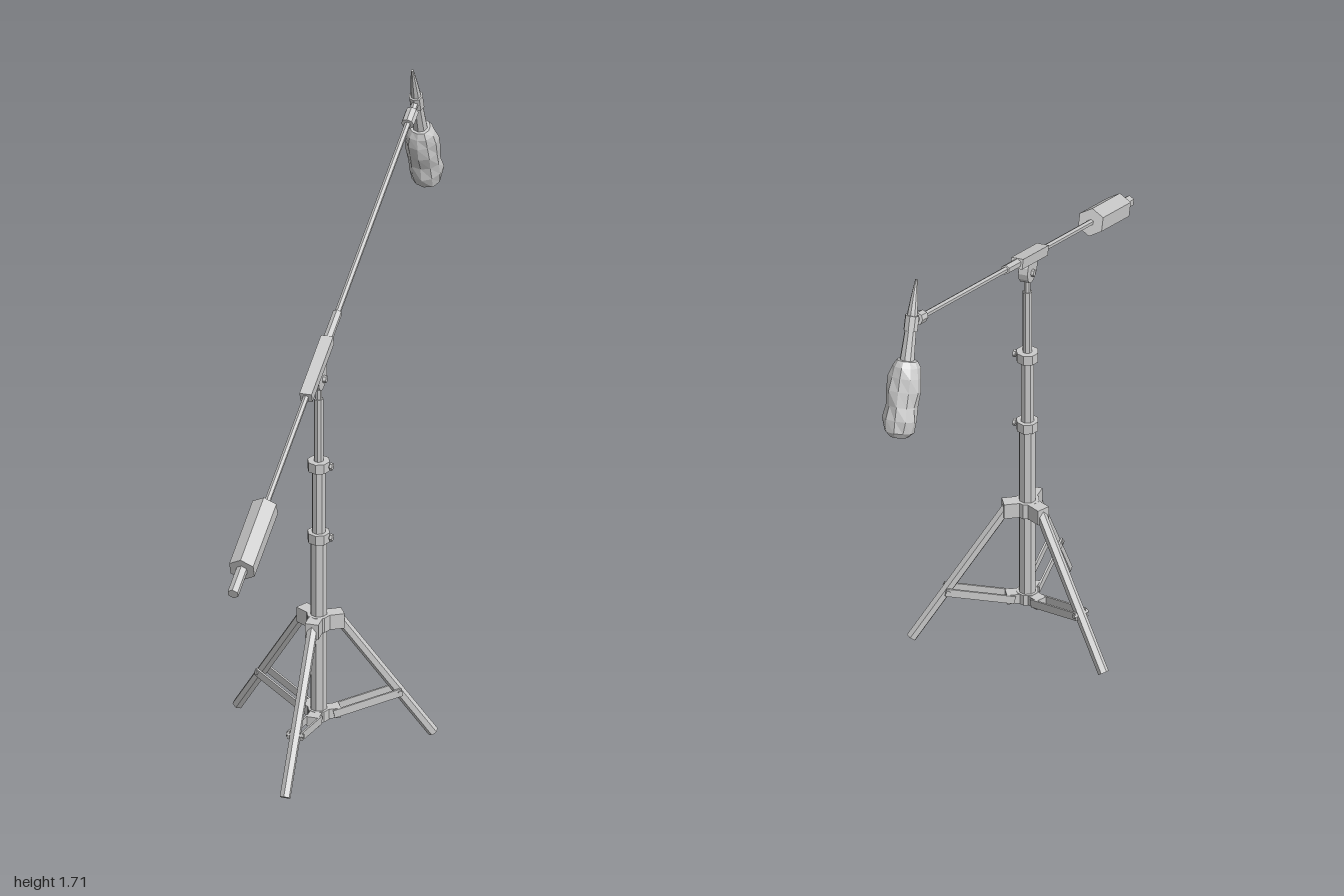
import * as THREE from 'three';

const mat = new THREE.MeshStandardMaterial({ color: 0xcccccc, flatShading: true });
const V = (x, y, z) => new THREE.Vector3(x, y, z);

function add(parent, name, geo, x = 0, y = 0, z = 0) {
  const m = new THREE.Mesh(geo, mat);
  m.name = name;
  m.position.set(x, y, z);
  parent.add(m);
  return m;
}

// Faceted bar between two points
function rod(parent, name, a, b, r, sides = 6, r2 = r) {
  const d = b.clone().sub(a);
  const m = add(parent, name, new THREE.CylinderGeometry(r2, r, d.length(), sides));
  m.position.copy(a).addScaledVector(d, 0.5);
  m.quaternion.setFromUnitVectors(V(0, 1, 0), d.normalize());
  return m;
}

// Rectangular bar between two points in the yz plane
function bar(parent, name, a, b, w, h) {
  const d = b.clone().sub(a);
  const m = add(parent, name, new THREE.BoxGeometry(w, h, d.length()));
  m.position.copy(a).addScaledVector(d, 0.5);
  m.rotation.x = -Math.atan2(d.y, d.z);
  return m;
}

function column() {
  const g = new THREE.Group();
  g.name = 'column';
  [[0.1, 0.7, 0.025], [0.68, 0.92, 0.02], [0.9, 1.13, 0.014], [1.12, 1.2, 0.01]]
    .forEach(([y0, y1, r]) => rod(g, 'tube', V(0, y0, 0), V(0, y1, 0), r, 8));
  // Height locks with side knobs
  for (const y of [0.685, 0.915]) {
    rod(g, 'lockCollar', V(0, y - 0.015, 0), V(0, y + 0.015, 0), 0.033, 8);
    rod(g, 'lockScrew', V(0.02, y, 0), V(0.038, y, 0), 0.006);
    rod(g, 'lockKnob', V(0.034, y, 0), V(0.042, y, 0), 0.011);
  }
  rod(g, 'topHub', V(0, 0.388, 0), V(0, 0.435, 0), 0.036, 8);
  rod(g, 'bottomHub', V(0, 0.097, 0), V(0, 0.13, 0), 0.033, 8);
  return g;
}

function tripodLeg(angle) {
  const g = new THREE.Group();
  g.name = 'tripodLeg';
  g.rotation.y = angle;
  add(g, 'hubArm', new THREE.BoxGeometry(0.04, 0.047, 0.05), 0, 0.411, 0.046);
  rod(g, 'leg', V(0, 0.42, 0.055), V(0, 0.01, 0.336), 0.016);
  add(g, 'spreaderLug', new THREE.BoxGeometry(0.036, 0.03, 0.04), 0, 0.114, 0.042);
  // Twin spreader plates gripping the leg
  for (const s of [-1, 1])
    bar(g, 'spreader', V(s * 0.0195, 0.113, 0.04), V(s * 0.0195, 0.16, 0.24), 0.006, 0.024);
  rod(g, 'spreaderPin', V(-0.026, 0.16, 0.234), V(0.026, 0.16, 0.234), 0.007);
  return g;
}

function microphone() {
  const g = new THREE.Group();
  g.name = 'microphone';
  // Tapered body, tail at the top
  const body = [[0, 0.125], [0.004, 0.125], [0.011, 0.07], [0.015, 0.03], [0.019, -0.06], [0.022, -0.12], [0, -0.12]];
  add(g, 'body', new THREE.LatheGeometry(body.reverse().map(p => new THREE.Vector2(...p)), 8));
  // Slightly lumpy windscreen
  const screen = [[0, -0.338], [0.028, -0.337], [0.043, -0.322], [0.05, -0.285], [0.046, -0.245],
    [0.05, -0.2], [0.048, -0.16], [0.041, -0.13], [0.03, -0.112], [0, -0.11]];
  const geo = new THREE.LatheGeometry(screen.map(p => new THREE.Vector2(...p)), 10);
  const p = geo.attributes.position;
  for (let i = 0; i < p.count; i++) {
    const a = Math.atan2(p.getX(i), p.getZ(i));
    const k = 1 + 0.05 * Math.sin(3 * a + p.getY(i) * 60);
    p.setX(i, p.getX(i) * k);
    p.setZ(i, p.getZ(i) * k);
  }
  add(g, 'windscreen', geo);
  rod(g, 'clipRing', V(0, -0.025, 0), V(0, 0.02, 0), 0.021, 8);
  return g;
}

function boom() {
  const g = new THREE.Group();
  g.name = 'boom';
  g.position.y = 1.243;
  g.rotation.x = 0.343;
  rod(g, 'boomRod', V(0, 0, -0.96), V(0, 0, 0.6), 0.009);
  add(g, 'clampBlock', new THREE.BoxGeometry(0.036, 0.03, 0.23), 0, 0, 0.02);
  rod(g, 'clampSleeve', V(0, 0, -0.2), V(0, 0, -0.08), 0.014);
  // Counterweight
  rod(g, 'counterweight', V(0, 0, 0.568), V(0, 0, 0.816), 0.041);
  rod(g, 'weightStub', V(0, 0, 0.8), V(0, 0, 0.911), 0.017);
  // Swivel at the microphone end
  rod(g, 'swivel', V(0, 0, -0.995), V(0, 0, -0.945), 0.019, 8);
  rod(g, 'swivelNeck', V(0, 0, -1.035), V(0, 0, -0.99), 0.01);
  const mic = microphone();
  mic.position.z = -1.04;
  g.add(mic);
  return g;
}

export function createModel() {
  const model = new THREE.Group();
  const stand = new THREE.Group();
  stand.name = 'stand';
  stand.position.z = 0.137;
  stand.add(column());
  for (let i = 0; i < 3; i++) stand.add(tripodLeg((i * Math.PI * 2) / 3));
  // Tilt joint
  rod(stand, 'tiltJoint', V(-0.014, 1.207, 0.005), V(0.014, 1.207, 0.005), 0.043, 14);
  rod(stand, 'tiltScrew', V(-0.022, 1.195, 0), V(0.024, 1.195, 0), 0.011);
  stand.add(boom());
  model.add(stand);
  return model;
}
